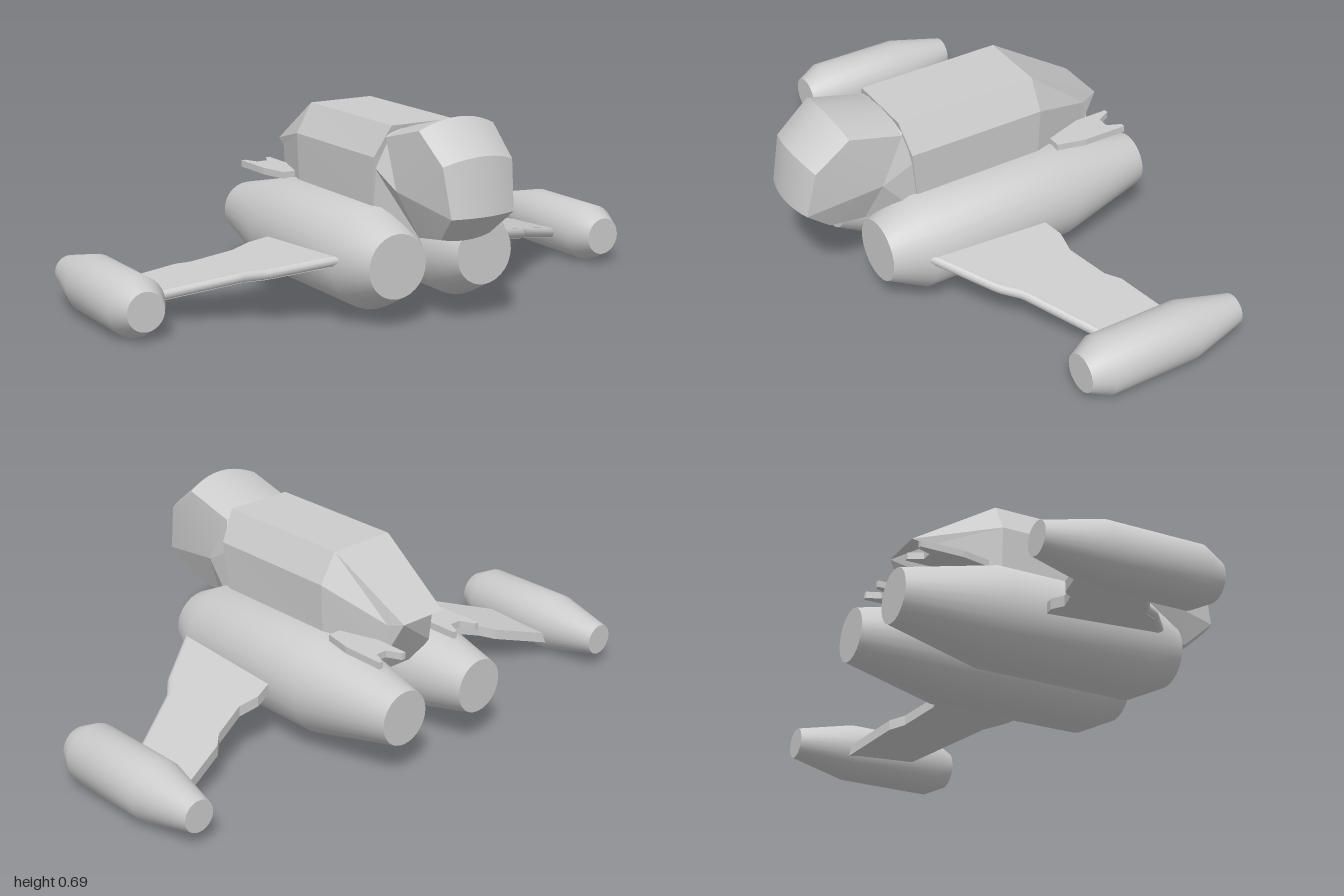
import * as THREE from 'three';
import { toCreasedNormals } from 'three/addons/utils/BufferGeometryUtils.js';

const smoothMat = new THREE.MeshStandardMaterial({ color: 0xcccccc, side: THREE.DoubleSide });
const flatMat = new THREE.MeshStandardMaterial({ color: 0xcccccc, side: THREE.DoubleSide, flatShading: true });

function part(name, geometry, material = smoothMat) {
  const mesh = new THREE.Mesh(geometry, material);
  mesh.name = name;
  return mesh;
}

function fromTriangles(points) {
  const geo = new THREE.BufferGeometry();
  geo.setAttribute('position', new THREE.Float32BufferAttribute(points.flat(), 3));
  geo.computeVertexNormals();
  return geo;
}

// Skin over mirrored half-sections, listed front to back, each from top to bottom
function loft(halves, capped) {
  const rings = halves.map(h => [...h, ...h.map(([x, y, z]) => [-x, y, z]).reverse()]);
  const n = rings[0].length, tris = [];
  for (let s = 0; s < rings.length - 1; s++) {
    for (let i = 0; i < n; i++) {
      const k = (i + 1) % n, A = rings[s], B = rings[s + 1];
      tris.push(A[i], A[k], B[k], A[i], B[k], B[i]);
    }
  }
  if (capped) {
    const F = rings[0], R = rings[rings.length - 1];
    for (let i = 1; i < n - 1; i++) tris.push(F[0], F[i + 1], F[i], R[0], R[i], R[i + 1]);
  }
  return fromTriangles(tris);
}

// Turned body along z; profile of [radius, z] from rear to front
function turned(profile) {
  const pts = profile.map(([r, z]) => new THREE.Vector2(r, z));
  pts.unshift(new THREE.Vector2(0, pts[0].y));
  pts.push(new THREE.Vector2(0, pts[pts.length - 1].y));
  return toCreasedNormals(new THREE.LatheGeometry(pts, 28).rotateX(Math.PI / 2), 0.6);
}

// Flat plate from an [x, z] outline, rising in y by the given thickness
function plate(outline, thickness, s) {
  const shape = new THREE.Shape(outline.map(([x, z]) => new THREE.Vector2(s * x, -z)));
  return new THREE.ExtrudeGeometry(shape, { depth: thickness, bevelEnabled: false }).rotateX(-Math.PI / 2);
}

// Cockpit: crowned strip wrapped over the nose, with slanted flat sides
function cockpitGeometry() {
  // half width, edge y, edge z, centre y, centre z
  const rows = [
    [0.14, 0.6, 0.262, 0.63, 0.262],
    [0.14, 0.65, 0.45, 0.685, 0.465],
    [0.13, 0.555, 0.567, 0.58, 0.592],
    [0.117, 0.395, 0.597, 0.395, 0.617],
    [0.092, 0.31, 0.505, 0.3, 0.512],
    [0.088, 0.29, 0.375, 0.28, 0.375],
  ];
  const at = ([w, ye, ze, yc, zc], t) =>
    [w * t, ye + (yc - ye) * (1 - t * t), ze + (zc - ze) * (1 - t * t)];
  const tris = [], n = 10;
  for (let j = 0; j < rows.length - 1; j++) {
    for (let i = 0; i < n; i++) {
      const t0 = -1 + 2 * i / n, t1 = -1 + 2 * (i + 1) / n;
      const a = at(rows[j], t0), b = at(rows[j + 1], t0), c = at(rows[j + 1], t1), d = at(rows[j], t1);
      tris.push(a, b, c, a, c, d);
    }
    tris.push([0.152, 0.44, 0.342], at(rows[j], 1), at(rows[j + 1], 1));
    tris.push([-0.152, 0.44, 0.342], at(rows[j + 1], -1), at(rows[j], -1));
  }
  return toCreasedNormals(fromTriangles(tris), 0.25);
}

// Wing height: droops outward and tilts slightly down to the rear
const wingY = (x, z) => 0.2 - (Math.abs(x) - 0.335) * 0.235 + (z - 0.25) * 0.055;
const leading = [[0.22, 0.33], [0.337, 0.245], [0.5, 0.125], [0.55, 0.065], [0.86, -0.13]];
const trailing = [[0.86, -0.35], [0.8, -0.33], [0.63, -0.265], [0.59, -0.225],
  [0.465, -0.175], [0.395, -0.185], [0.335, -0.165], [0.22, -0.16]];

function wingGeometry(s) {
  const geo = plate([...leading, ...trailing], 0.036, s);
  const p = geo.attributes.position;
  for (let i = 0; i < p.count; i++) p.setY(i, p.getY(i) + wingY(p.getX(i), p.getZ(i)));
  geo.computeVertexNormals();
  return geo;
}

function leadingEdgeGeometry(s) {
  const path = new THREE.CurvePath();
  const pts = leading.map(([x, z]) => new THREE.Vector3(s * x, wingY(x, z) + 0.018, z - 0.006));
  for (let i = 0; i < pts.length - 1; i++) path.add(new THREE.LineCurve3(pts[i], pts[i + 1]));
  return new THREE.TubeGeometry(path, 40, 0.018, 10);
}

export function createModel() {
  const model = new THREE.Group();
  model.name = 'spacecraft';

  // Upper body with sloping rear
  const hullRear = [[0.085, 0.465, -0.522], [0.1, 0.45, -0.465], [0.1, 0.335, -0.452], [0.07, 0.27, -0.42]];
  model.add(part('upperHull', loft([
    [[0.118, 0.635, 0.262], [0.174, 0.535, 0.245], [0.168, 0.37, 0.225], [0.12, 0.25, 0.21]],
    [[0.118, 0.635, -0.24], [0.175, 0.535, -0.24], [0.168, 0.37, -0.24], [0.12, 0.25, -0.24]],
    hullRear,
  ], true), flatMat));

  // Cockpit and the collar that joins it to the hull
  model.add(part('cockpit', cockpitGeometry()));
  model.add(part('cockpitCollar', loft([
    [[0, 0.63, 0.262], [0.08, 0.62, 0.262], [0.14, 0.6, 0.262], [0.152, 0.44, 0.342], [0.088, 0.29, 0.375]],
    [[0, 0.63, 0.25], [0.08, 0.63, 0.25], [0.118, 0.61, 0.25], [0.165, 0.5, 0.235], [0.16, 0.3, 0.22]],
  ], false), flatMat));

  for (const s of [1, -1]) {
    const side = s > 0 ? 'left' : 'right';

    // Main engine and wingtip pod
    const engine = part(side + 'Engine', turned([[0.091, -0.615], [0.168, -0.29], [0.168, 0.25], [0.106, 0.375]]));
    engine.position.set(s * 0.167, 0.206, 0);
    const pod = part(side + 'WingtipPod', turned([[0.053, -0.507], [0.1, -0.31], [0.1, 0.01], [0.065, 0.08]]));
    pod.position.set(s * 0.9, 0.1, 0);

    // Drooping wing with rounded leading edge
    const wing = new THREE.Group();
    wing.name = side + 'Wing';
    wing.add(part('wingPanel', wingGeometry(s)), part('leadingEdge', leadingEdgeGeometry(s)));

    // Notched rear plate
    const fin = part(side + 'RearPlate', plate([
      [0.08, -0.3], [0.195, -0.3], [0.218, -0.4], [0.22, -0.553], [0.205, -0.553],
      [0.185, -0.505], [0.145, -0.505], [0.122, -0.553], [0.108, -0.553], [0.108, -0.44], [0.08, -0.4],
    ], 0.023, s));
    fin.position.y = 0.369;

    model.add(engine, pod, wing, fin);
  }
  return model;
}
